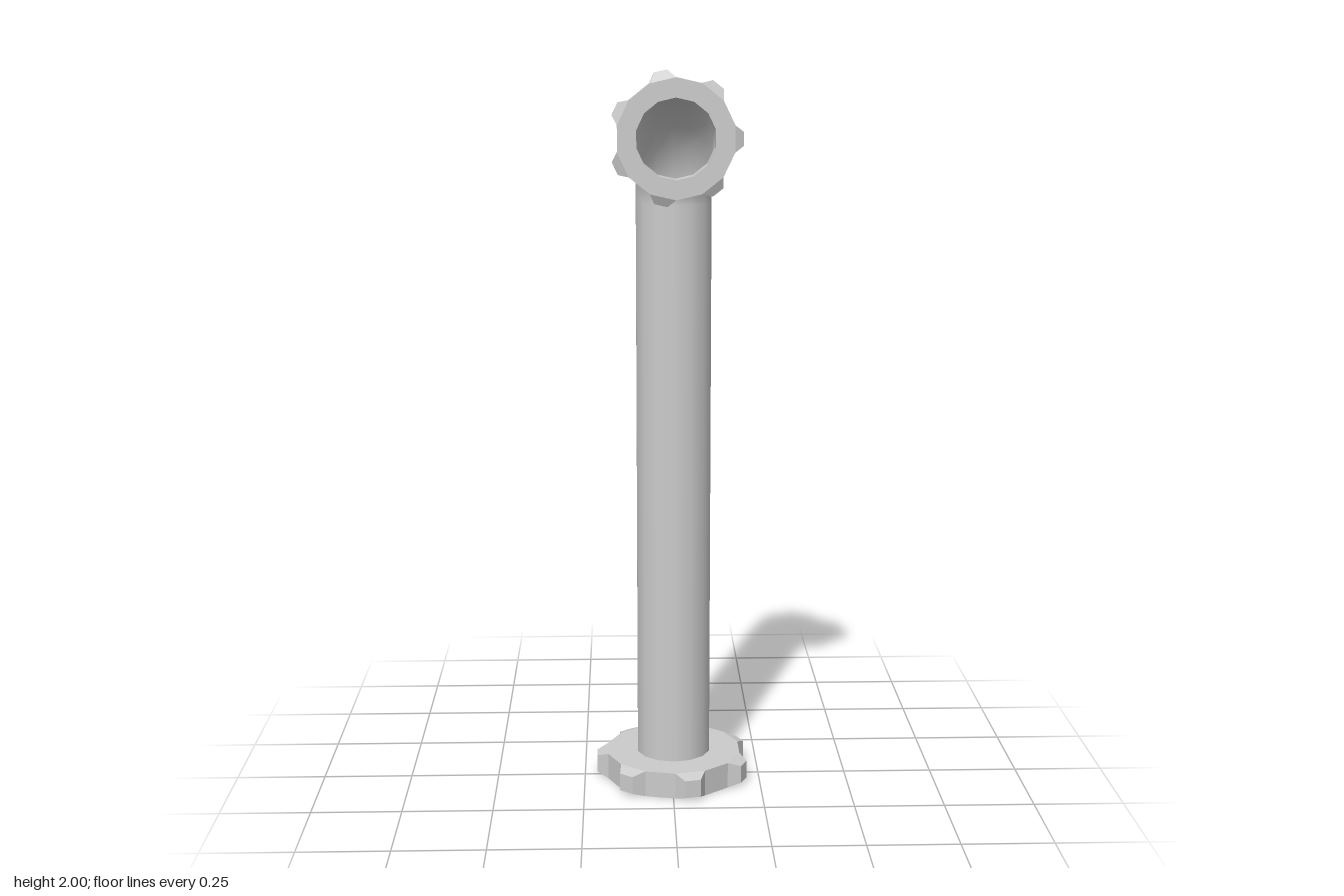
import * as THREE from 'three';

const SIDES = 14;
const PIPE_R = 0.105;
const PIPE_X = 0.005;
const PIPE_Z = -0.01;
const BEND_R = 0.18;
const BEND_Y = 1.646;

// Ring with seven tapered lugs, centred on the y axis; first lug at angle `start`
function flangeGeometry(bodyR, lugR, height, start) {
  const pos = [];
  const h = height / 2;
  const tipH = h - 0.012;
  const step = (Math.PI * 2) / SIDES;
  const P = (r, a, y) => [r * Math.cos(a), y, r * Math.sin(a)];
  const quad = (a, b, c, d) => pos.push(...a, ...b, ...c, ...a, ...c, ...d);

  for (let i = 0; i < SIDES; i++) {
    const mid = start + i * step;
    const a0 = mid - step / 2;
    const a1 = mid + step / 2;
    const i0 = P(PIPE_R, a0, -h), i1 = P(PIPE_R, a1, -h);
    const I0 = P(PIPE_R, a0, h), I1 = P(PIPE_R, a1, h);
    const o0 = P(bodyR, a0, -h), o1 = P(bodyR, a1, -h);
    const O0 = P(bodyR, a0, h), O1 = P(bodyR, a1, h);
    quad(I0, I1, O1, O0); // top face
    quad(i0, o0, o1, i1); // bottom face
    quad(i0, i1, I1, I0); // bore
    if (i % 2) {
      quad(o0, O0, O1, o1); // plain rim between lugs
    } else {
      const t0 = P(lugR, mid - 0.1, -tipH), t1 = P(lugR, mid + 0.1, -tipH);
      const T0 = P(lugR, mid - 0.1, tipH), T1 = P(lugR, mid + 0.1, tipH);
      quad(t0, T0, T1, t1); // lug tip
      quad(O0, O1, T1, T0); // lug slopes
      quad(o0, t0, t1, o1);
      quad(o0, O0, T0, t0); // lug flanks
      quad(o1, t1, T1, O1);
    }
  }
  const g = new THREE.BufferGeometry();
  g.setAttribute('position', new THREE.Float32BufferAttribute(pos, 3));
  g.computeVertexNormals();
  return g;
}

export function createModel() {
  const model = new THREE.Group();
  model.name = 'bentPipe';
  const pipeMat = new THREE.MeshStandardMaterial({ color: 0xcccccc, side: THREE.DoubleSide });
  const flangeMat = new THREE.MeshStandardMaterial({ color: 0xcccccc, flatShading: true });

  const add = (name, geometry, material, x, y, z) => {
    const mesh = new THREE.Mesh(geometry, material);
    mesh.name = name;
    mesh.position.set(x, y, z);
    model.add(mesh);
    return mesh;
  };

  // Straight upright pipe, open at both ends
  const y0 = 0.07;
  add('uprightPipe',
    new THREE.CylinderGeometry(PIPE_R, PIPE_R, BEND_Y - y0, SIDES, 1, true),
    pipeMat, PIPE_X, (BEND_Y + y0) / 2, PIPE_Z);

  // Quarter-turn elbow towards the front
  const elbow = add('elbow',
    new THREE.TorusGeometry(BEND_R, PIPE_R, SIDES, 6, Math.PI / 2),
    pipeMat, PIPE_X, BEND_Y, PIPE_Z + BEND_R);
  elbow.rotation.y = Math.PI / 2;

  // Flanges at the foot and at the outlet
  add('footFlange', flangeGeometry(0.193, 0.221, 0.074, Math.PI),
    flangeMat, PIPE_X, 0.037, PIPE_Z);
  const outlet = add('outletFlange', flangeGeometry(0.156, 0.176, 0.065, 0),
    flangeMat, PIPE_X, BEND_Y + BEND_R, 0.1955);
  outlet.rotation.x = Math.PI / 2;

  return model;
}
